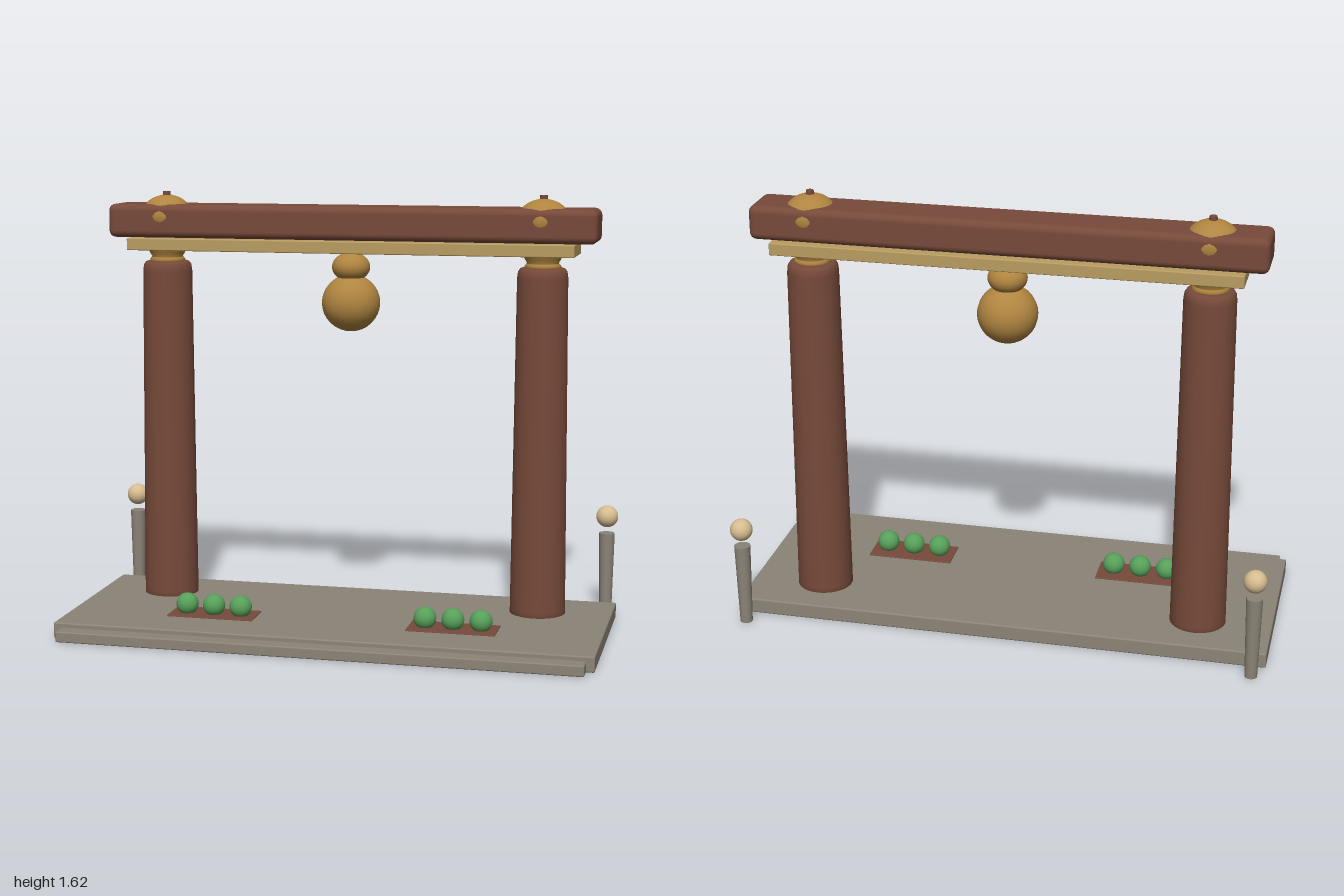
import * as THREE from 'three';
import { RoundedBoxGeometry } from 'three/addons/geometries/RoundedBoxGeometry.js';

const material = (color) => new THREE.MeshStandardMaterial({ color });
const wood = material(0x774a3a);
const gold = material(0xb08540);
const stone = material(0x8b8477);
const tan = material(0xb99c62);
const green = material(0x57a05a);
const cream = material(0xd6bc90);

const GATE_Z = -0.16;

export function createModel() {
  const model = new THREE.Group();

  const add = (name, geometry, mat, x, y, z) => {
    const mesh = new THREE.Mesh(geometry, mat);
    mesh.name = name;
    mesh.position.set(x, y, z);
    model.add(mesh);
    return mesh;
  };
  const slab = (name, mat, w, h, d, r, x, y, z) =>
    add(name, new RoundedBoxGeometry(w, h, d, 3, r), mat, x, y, z);
  const ball = (name, mat, r, ry, x, y, z) => {
    const mesh = add(name, new THREE.SphereGeometry(r, 24, 16), mat, x, y, z);
    mesh.scale.y = ry / r;
    return mesh;
  };
  const lathe = (name, mat, points, sides, x, z) =>
    add(name, new THREE.LatheGeometry(points.map(([r, y]) => new THREE.Vector2(r, y)), sides), mat, x, 0, z);

  // Stone platform with a lower step along the front
  slab('platform', stone, 2, 0.058, 0.77, 0.006, 0, 0.033, 0.02);
  slab('frontStep', stone, 1.94, 0.04, 0.1, 0.005, 0, 0.025, 0.418);

  // Crossbeam resting on a thinner plank
  slab('crossbeam', wood, 1.86, 0.126, 0.188, 0.026, 0, 1.518, GATE_Z);
  slab('supportPlank', tan, 1.7, 0.046, 0.218, 0.004, 0, 1.431, GATE_Z);

  // Hanging lantern
  ball('lanternCap', gold, 0.072, 0.056, 0, 1.352, GATE_Z);
  ball('lantern', gold, 0.11, 0.108, 0, 1.217, GATE_Z);

  for (const side of [-1, 1]) {
    const x = side * 0.723;
    // Tapered column with a rounded shoulder
    lathe('column', wood, [[0, 0.004], [0.105, 0.004], [0.104, 0.08], [0.094, 1.325],
      [0.091, 1.348], [0.083, 1.36], [0.075, 1.363], [0, 1.363]], 32, x, GATE_Z);
    // Gold capital between column and plank
    lathe('capital', gold, [[0.062, 1.36], [0.068, 1.368], [0.062, 1.377],
      [0.058, 1.38], [0.067, 1.395], [0.074, 1.412]], 32, x, GATE_Z);
    // Dome through the beam, with a small finial
    ball('dome', gold, 0.098, 0.08, x, 1.535, GATE_Z);
    add('finial', new THREE.CylinderGeometry(0.014, 0.016, 0.022, 12), wood, x, 1.617, GATE_Z);

    // Lamp post behind the rear corner
    add('lampPost', new THREE.CylinderGeometry(0.03, 0.023, 0.316, 16), stone, side * 0.953, 0.162, -0.43);
    ball('lampGlobe', cream, 0.042, 0.042, side * 0.953, 0.385, -0.43);

    // Planter tray with three round shrubs
    const px = side * 0.455;
    slab('planter', wood, 0.33, 0.062, 0.143, 0.003, px, 0.035, 0.152);
    for (const i of [-1, 0, 1]) {
      ball('shrub', green, 0.042, 0.042, px + i * 0.104, 0.097, 0.154);
    }
  }

  return model;
}
